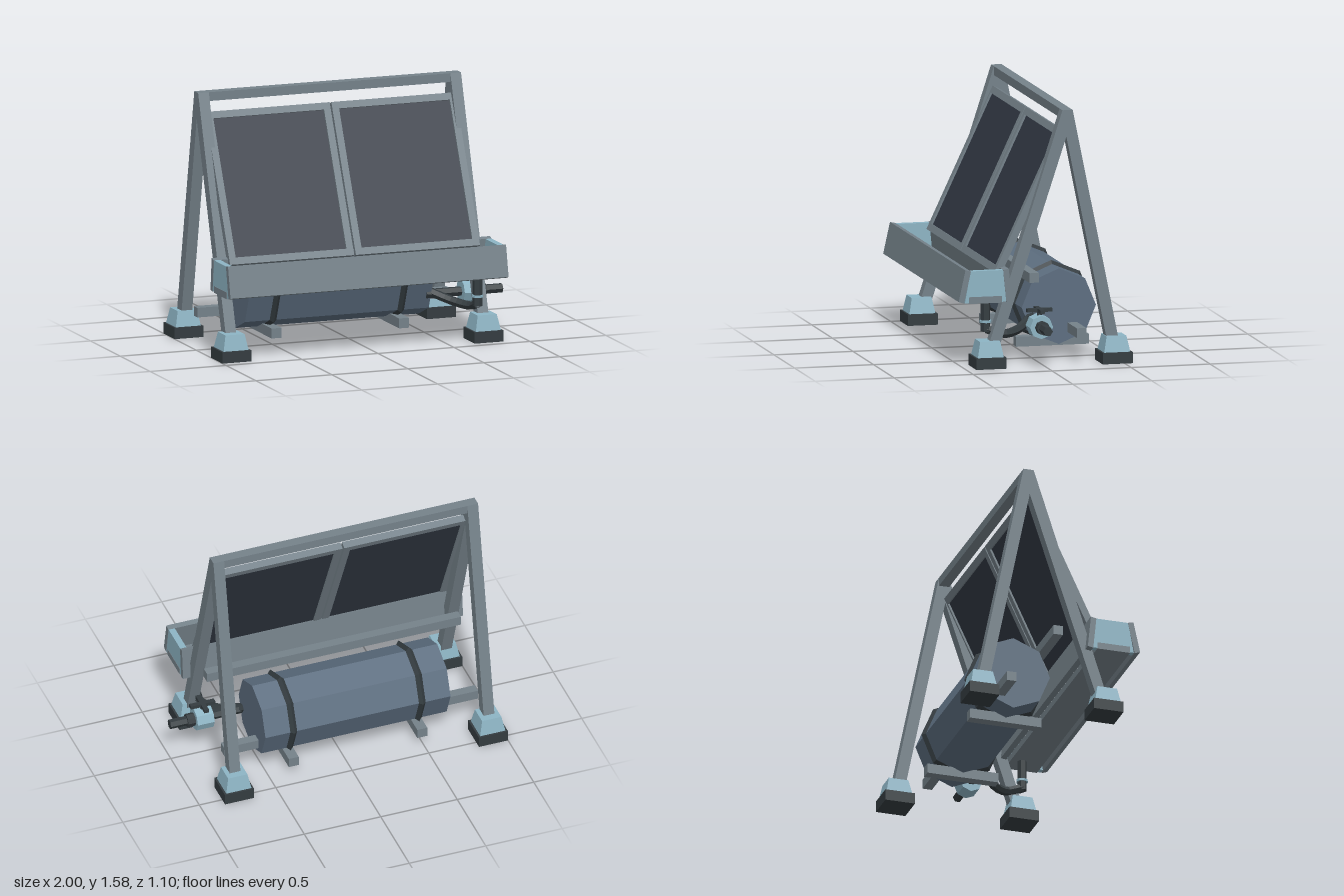
import * as THREE from 'three';

const mat = (color) => new THREE.MeshStandardMaterial({ color, flatShading: true });

export function createModel() {
  const root = new THREE.Group();
  const steel = mat(0x75828a), blue = mat(0x8db4c4), dark = mat(0x343c40);
  const tankMat = mat(0x5d6e80), paneMat = mat(0x313843);

  const add = (name, geometry, material, x = 0, y = 0, z = 0, parent = root) => {
    const m = new THREE.Mesh(geometry, material);
    m.name = name;
    m.position.set(x, y, z);
    parent.add(m);
    return m;
  };
  const box = (name, w, h, d, material, x, y, z, parent) =>
    add(name, new THREE.BoxGeometry(w, h, d), material, x, y, z, parent);
  // side profile given as [z, y] points, extruded along x from x0 to x1
  const profile = (name, pts, x0, x1, material) => {
    const shape = new THREE.Shape(pts.map(([z, y]) => new THREE.Vector2(-z, y)));
    const g = new THREE.ExtrudeGeometry(shape, { depth: x1 - x0, bevelEnabled: false });
    return add(name, g.rotateY(Math.PI / 2), material, x0);
  };
  // cylinder lying along x from x0 to x1
  const rod = (name, r, x0, x1, sides, material, y, z) => {
    const g = new THREE.CylinderGeometry(r, r, x1 - x0, sides).rotateZ(Math.PI / 2);
    return add(name, g, material, (x0 + x1) / 2, y, z);
  };

  // A-shaped legs with tapered feet at both ends
  const legXs = [-0.905, 0.755], midX = -0.075, span = 1.66;
  for (const x of legXs) {
    profile('legFrame', [
      [0.36, 0.1], [-0.12, 1.58], [-0.185, 1.58], [-0.485, 0.1],
      [-0.41, 0.1], [-0.145, 1.415], [0.288, 0.1],
    ], x - 0.035, x + 0.035, steel);
    for (const z of [0.345, -0.455]) {
      box('footPad', 0.19, 0.07, 0.19, dark, x, 0.035, z);
      const block = new THREE.CylinderGeometry(0.063 * Math.SQRT2, 0.083 * Math.SQRT2, 0.1, 4);
      add('footBlock', block.rotateY(Math.PI / 4), blue, x, 0.117, z);
    }
  }

  // horizontal bars joining the legs
  box('topBar', span + 0.07, 0.055, 0.065, steel, midX, 1.5525, -0.1525);
  box('rearCrossBar', span, 0.06, 0.06, steel, midX, 0.185, -0.25);
  box('panelSupportBar', span, 0.06, 0.06, steel, midX, 0.54, 0.05);

  // two tilted panels: rim with an opening and a recessed pane
  const pw = 0.817, ph = 0.97, rim = 0.044;
  const rect = (T, w, h) => new T([
    new THREE.Vector2(-w / 2, -h / 2), new THREE.Vector2(w / 2, -h / 2),
    new THREE.Vector2(w / 2, h / 2), new THREE.Vector2(-w / 2, h / 2),
  ]);
  for (const x of [-0.4865, 0.3415]) {
    const panel = new THREE.Group();
    panel.name = 'panel';
    panel.position.set(x, 1.022, 0.095);
    panel.rotation.x = -Math.atan(0.47);
    const shape = rect(THREE.Shape, pw, ph);
    shape.holes.push(rect(THREE.Path, pw - 2 * rim, ph - 2 * rim));
    add('panelRim', new THREE.ExtrudeGeometry(shape, { depth: 0.045, bevelEnabled: false }),
      steel, 0, 0, -0.045, panel);
    box('panelPane', pw - 2 * rim, ph - 2 * rim, 0.02, paneMat, 0, 0, -0.0225, panel);
    root.add(panel);
  }

  // collecting trough with leaning walls and end plates
  const t0 = -0.99, t1 = 0.84;
  box('troughFloor', t1 - t0, 0.042, 0.21, steel, (t0 + t1) / 2, 0.431, 0.38);
  profile('troughFrontWall', [[0.55, 0.425], [0.507, 0.62], [0.472, 0.612], [0.515, 0.413]], t0, t1, steel);
  profile('troughBackWall', [[0.213, 0.418], [0.233, 0.62], [0.268, 0.612], [0.248, 0.412]], t0, t1, steel);
  for (const x of [t0 + 0.002, t1 - 0.042]) {
    profile('troughEnd', [[0.51, 0.415], [0.474, 0.612], [0.266, 0.612], [0.24, 0.415]], x, x + 0.04, blue);
  }

  // eight-sided tank with straps on cradle beams
  const ty = 0.318, tz = -0.165;
  rod('tank', 0.235, -0.68, 0.53, 8, tankMat, ty, tz);
  for (const x of [-0.495, 0.345]) {
    const strap = new THREE.TorusGeometry(0.235, 0.022, 4, 8).rotateY(Math.PI / 2);
    add('tankStrap', strap, dark, x, ty, tz);
    box('cradleBeam', 0.065, 0.062, 0.46, steel, x - 0.002, 0.081, tz);
  }

  // drain pipe from the trough into the tank
  const dx = 0.715, dz = 0.348;
  add('drainPipe', new THREE.CylinderGeometry(0.03, 0.03, 0.25, 6), dark, dx, 0.34, dz);
  add('drainCollar', new THREE.CylinderGeometry(0.037, 0.037, 0.015, 8), blue, dx, 0.278, dz);
  const bend = new THREE.CatmullRomCurve3([
    new THREE.Vector3(dx, 0.23, dz), new THREE.Vector3(dx, 0.195, 0.24),
    new THREE.Vector3(0.65, 0.205, 0.13), new THREE.Vector3(0.51, 0.265, 0),
  ]);
  add('drainBend', new THREE.TubeGeometry(bend, 10, 0.028, 6), dark);

  // outlet tap on the tank's side
  const vy = 0.245, vz = 0.025;
  rod('outletPipe', 0.03, 0.5, 1.0, 6, dark, vy, vz);
  rod('tapBody', 0.073, 0.73, 0.84, 8, blue, vy, vz);
  rod('tapCollar', 0.042, 0.84, 0.89, 8, dark, vy, vz);
  add('tapStem', new THREE.CylinderGeometry(0.016, 0.016, 0.1, 6), dark, 0.785, 0.305, vz);
  box('tapHandle', 0.16, 0.022, 0.03, dark, 0.785, 0.345, vz);
  box('tapHandle', 0.03, 0.022, 0.16, dark, 0.785, 0.345, vz);

  return root;
}
